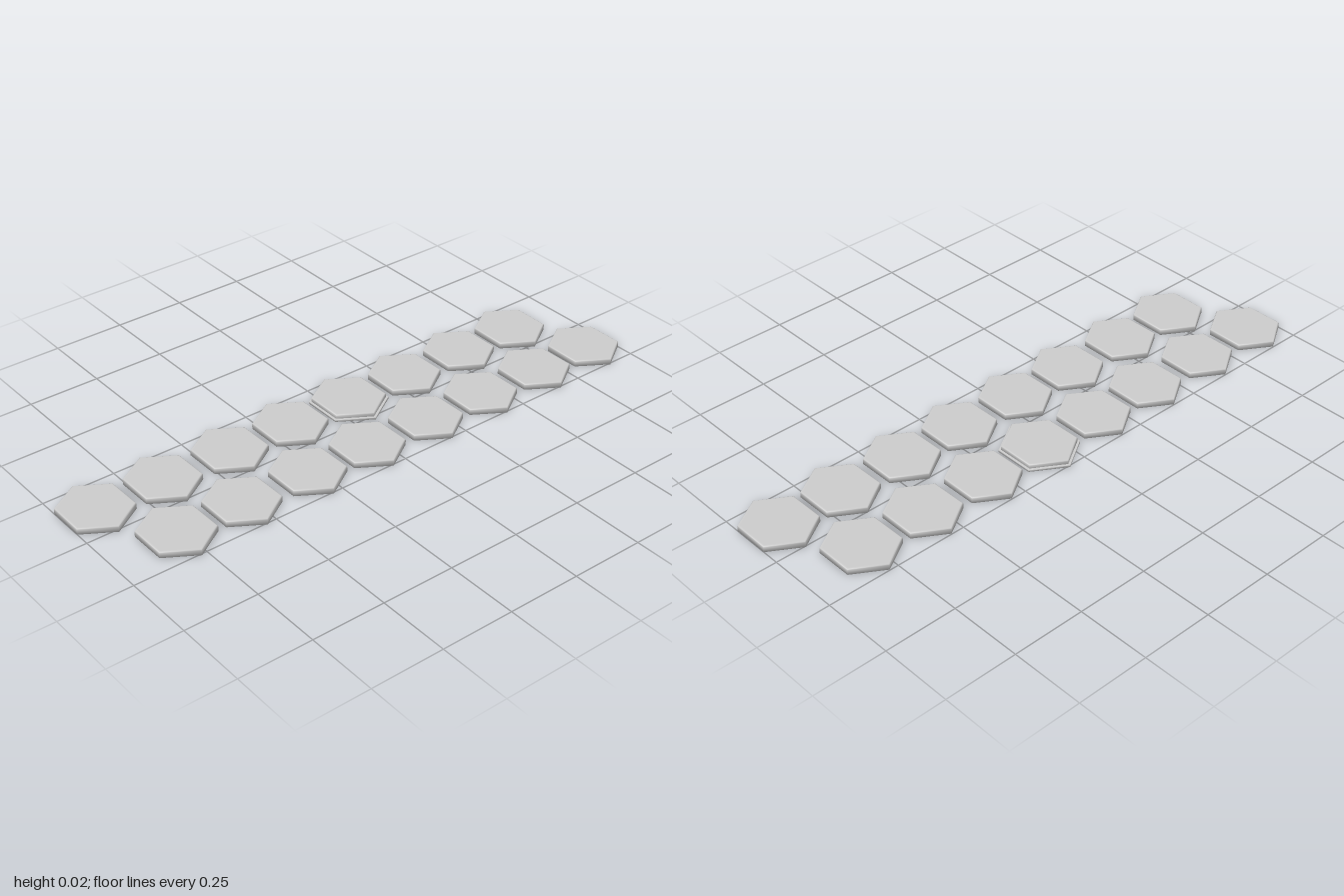
import * as THREE from 'three';

const R = 0.13, H = 0.021, Z_SCALE = 0.917;

// Six-sided slab with a corner on the x axis and a softened top edge
function hexSlab(radius, height, bevel) {
  const profile = [
    [0, 0], [radius, 0], [radius, height - bevel],
    [radius - bevel * 0.3, height - bevel * 0.3], [radius - bevel, height],
    [radius - bevel * 2, height], [0, height],
  ].map(([x, y]) => new THREE.Vector2(x, y));
  return new THREE.LatheGeometry(profile, 6, Math.PI / 2).scale(1, 1, Z_SCALE);
}

export function createModel() {
  const group = new THREE.Group();
  group.name = 'steppingStonePath';
  const material = new THREE.MeshStandardMaterial({ color: 0xcccccc });
  const stone = hexSlab(R, H, 0.004);

  // Two staggered columns of stones: centre x and the z of each stone
  const columns = [
    { name: 'rightStone', x: -0.118, zs: [-0.78, -0.545, -0.304, -0.068, 0.17, 0.407, 0.656, 0.8967] },
    { name: 'leftStone', x: 0.126, zs: [-0.8967, -0.665, -0.424, -0.188, 0.053, 0.288, 0.536, 0.771] },
  ];
  for (const { name, x, zs } of columns) {
    zs.forEach((z, i) => {
      const mesh = new THREE.Mesh(stone, material);
      mesh.name = name + (i + 1);
      mesh.position.set(x, 0, z);
      group.add(mesh);
    });
  }

  // Thin, slightly wider plate under one stone
  const plate = new THREE.Mesh(hexSlab(0.139, 0.007, 0.001), material);
  plate.name = 'basePlate';
  plate.position.set(-0.118, 0, -0.068);
  group.add(plate);
  return group;
}
